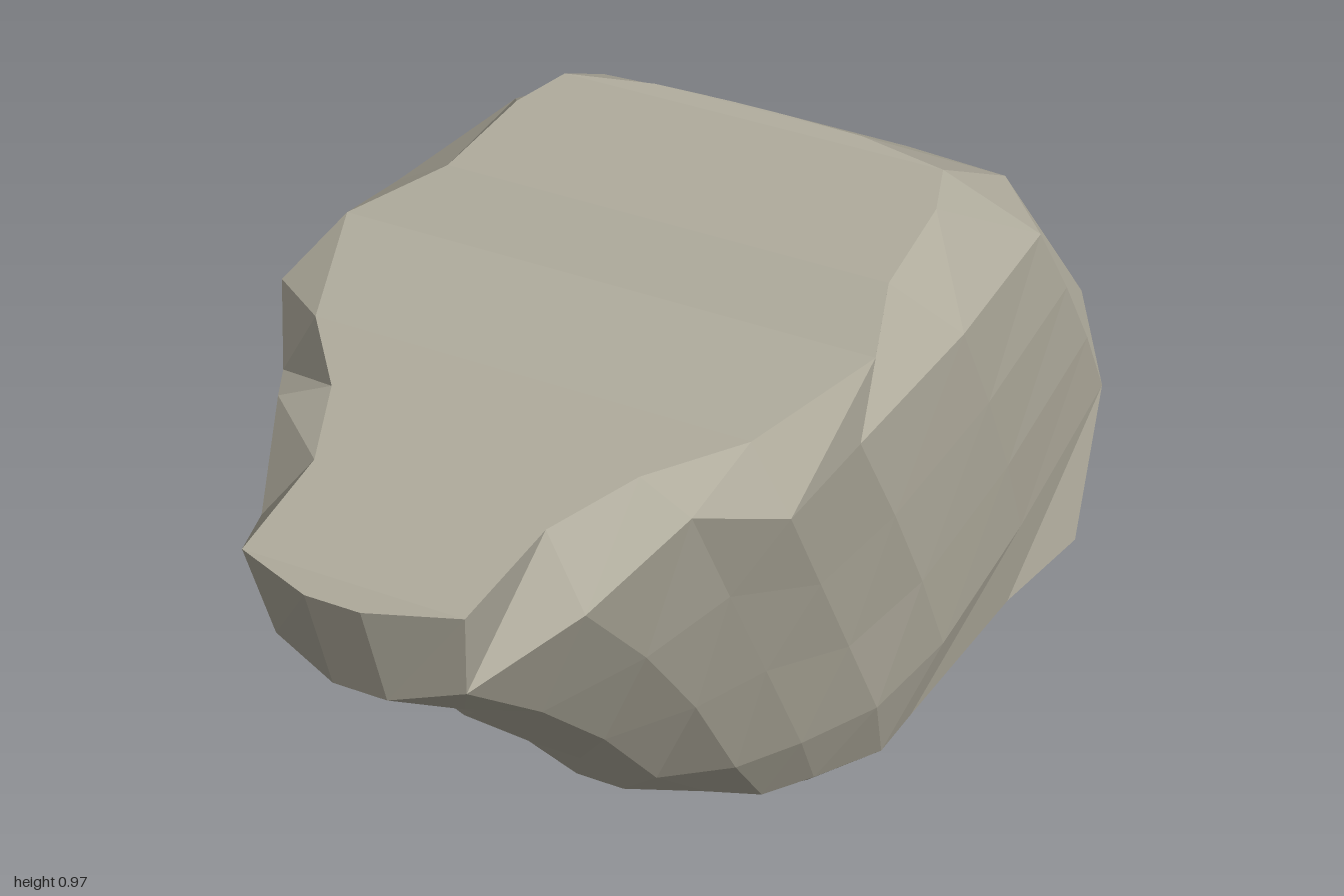
import * as THREE from 'three';

// Half sections [x, y, z] from front centre round the left side to back centre
const foot = [[.04, .06, .28], [.17, .09, .26], [.25, .09, .23], [.31, .1, .17], [.36, .05, .02], [.35, 0, -.13],
  [.4, .035, -.42], [.45, .05, -.6], [.39, .16, -.8], [.12, .06, -1], [.04, .08, -.94]];
const lower = [[.04, .24, .42], [.16, .24, .41], [.26, .25, .35], [.33, .26, .27], [.4, .26, .15], [.43, .25, -.04],
  [.43, .24, -.37], [.445, .31, -.69], [.32, .31, -.93], [.17, .31, -.94], [.04, .28, -.9]];
const upper = [[.04, .78, .95], [.14, .805, .92], [.24, .865, .78], [.31, .925, .61], [.39, .85, .47], [.445, .925, .37],
  [.455, .88, .02], [.44, .83, -.33], [.34, .84, -.44], [.17, .835, -.46], [.04, .83, -.46]];
const rim = [[.04, .965, 1], [.16, .96, .95], [.17, .96, .75], [.23, .96, .6], [.33, .96, .47], [.41, .97, .24],
  [.35, .955, .05], [.34, .955, -.15], [.31, .955, -.25], [.17, .96, -.275], [.04, .96, -.28]];

// Underside: the foot drawn inwards by a factor
const inset = (sx, sz) => foot.map(([x, y, z]) => [x * sx, Math.min(.04, y), -.33 + (z + .33) * sz]);
const base = inset(.9, .9);
const sole = inset(.4, .8).map(([x, , z]) => [x, .04, z]);

// Section between lower and upper, with bulging flanks and a slightly hollow front
const between = t => lower.map((p, i) => {
  const [x, y, z] = p.map((v, k) => v + (upper[i][k] - v) * t);
  const swell = Math.sin(Math.PI * t);
  return [x + (x > .4 ? .01 * swell : 0), y, z - (i < 3 ? .03 * swell : 0)];
});

export function createModel() {
  const stone = new THREE.MeshStandardMaterial({ color: 0xb0ac9d, flatShading: true });
  stone.name = 'stone';

  // Mirror each half section into a closed loop
  const rings = [sole, base, foot, lower, between(.35), between(.68), upper, rim]
    .map(h => [...h, ...h.map(([x, y, z]) => [-x, y, z]).reverse()]);
  const n = rings[0].length;
  const positions = [];
  const quad = (a, b, c, d) => positions.push(...a, ...b, ...c, ...a, ...c, ...d);

  // Slanted sides
  for (let r = 0; r < rings.length - 1; r++) {
    for (let i = 0; i < n; i++) {
      const j = (i + 1) % n;
      quad(rings[r][i], rings[r][j], rings[r + 1][j], rings[r + 1][i]);
    }
  }

  // Underside and flat top, bridged from side to side
  const bottom = rings[0], top = rings[rings.length - 1];
  for (let i = 0; i < n / 2 - 1; i++) {
    const m = n - 1 - i;
    quad(top[i], top[i + 1], top[m - 1], top[m]);
    quad(bottom[m], bottom[m - 1], bottom[i + 1], bottom[i]);
  }

  const geometry = new THREE.BufferGeometry();
  geometry.setAttribute('position', new THREE.Float32BufferAttribute(positions, 3));
  geometry.computeVertexNormals();

  const rock = new THREE.Mesh(geometry, stone);
  rock.name = 'slantedRock';
  const group = new THREE.Group();
  group.name = 'rock';
  group.add(rock);
  return group;
}
